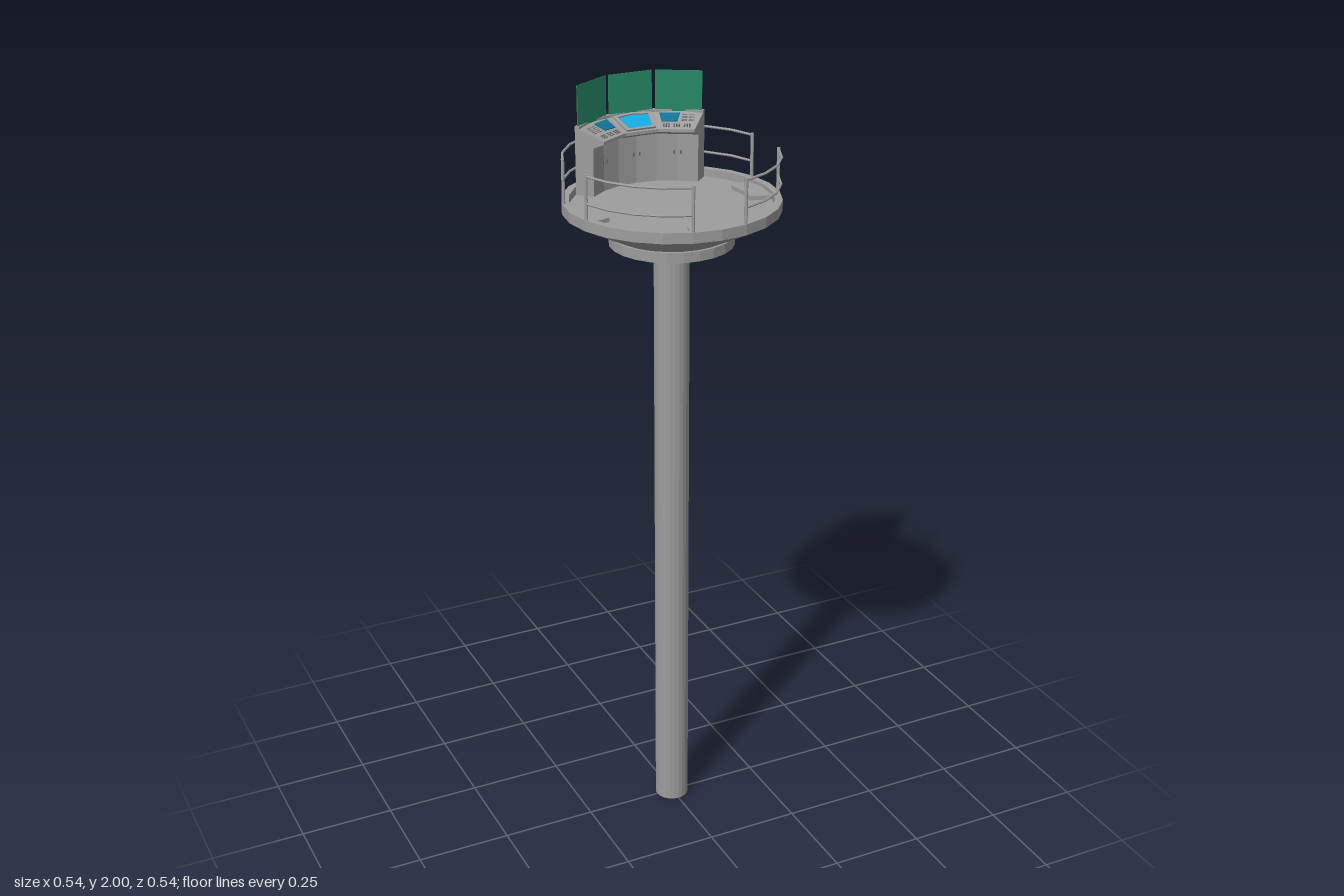
import * as THREE from 'three';

const DEG = Math.PI / 180;
const paint = (color) => new THREE.MeshStandardMaterial({ color, flatShading: true, side: THREE.DoubleSide });
const grey = paint(0x9d9d9d);
const dark = paint(0x666666);
const green = paint(0x268a68);
const blue = paint(0x14acdf);
const sideBlue = paint(0x127297);

const vec = (points) => points.map(([x, y]) => new THREE.Vector2(x, y));

function add(parent, name, geometry, material = grey, x = 0, y = 0, z = 0) {
  const mesh = new THREE.Mesh(geometry, material);
  mesh.name = name;
  mesh.position.set(x, y, z);
  parent.add(mesh);
  return mesh;
}

// Closed (radius, height) profile swept between two angles, with end caps
function sector(parent, name, profile, from, to, segments) {
  const group = new THREE.Group();
  group.name = name;
  const loop = vec([...profile, profile[0]]);
  add(group, name + 'Body', new THREE.LatheGeometry(loop, segments, from * DEG, (to - from) * DEG));
  for (const angle of [from, to]) {
    add(group, name + 'End', new THREE.ShapeGeometry(new THREE.Shape(vec(profile)))).rotation.y = (angle - 90) * DEG;
  }
  parent.add(group);
}

// Flat plate lying on a desk top; outline in (x, toward the back)
function plate(parent, name, outline, depth, material, hole) {
  const shape = new THREE.Shape(vec(outline));
  if (hole) shape.holes.push(new THREE.Path(vec(hole)));
  const geometry = new THREE.ExtrudeGeometry(shape, { depth, bevelEnabled: false });
  geometry.rotateX(-Math.PI / 2);
  return add(parent, name, geometry, material);
}

function addPlatform(model) {
  add(model, 'column', new THREE.CylinderGeometry(0.045, 0.045, 1.61, 24), grey, 0, 0.805, 0);
  const collar = [[0, 1.6], [0.045, 1.6], [0.157, 1.63], [0.157, 1.656], [0, 1.656]];
  add(model, 'collar', new THREE.LatheGeometry(vec(collar), 24));
  const dish = [[0, 1.65], [0.137, 1.65], [0.272, 1.718], [0.272, 1.745], [0.253, 1.745], [0.253, 1.725], [0, 1.725]];
  add(model, 'platform', new THREE.LatheGeometry(vec(dish), 24));
  // Entry steps below the gaps in the railing
  for (const angle of [0, 90, 270]) {
    sector(model, 'entryStep', [[0.197, 1.724], [0.253, 1.724], [0.253, 1.736], [0.197, 1.736]], angle - 15, angle + 15, 2);
  }
}

function addRailings(model) {
  const r = 0.267;
  const tube = 0.0033;
  for (const [from, to] of [[15, 75], [285, 345], [105, 255]]) {
    for (const y of [1.785, 1.852]) {
      const ring = [];
      for (let i = 0; i < 6; i++) {
        ring.push([r + tube * Math.cos(i * 60 * DEG), y + tube * Math.sin(i * 60 * DEG)]);
      }
      sector(model, 'rail', ring, from, to, (to - from) / 15);
    }
    for (const a of [from, to]) {
      add(model, 'railPost', new THREE.CylinderGeometry(0.0045, 0.0045, 0.115, 8), grey,
        r * Math.sin(a * DEG), 1.799, r * Math.cos(a * DEG));
    }
  }
}

function addCentreControls(desk) {
  const outer = [[-0.04, -0.034], [0.04, -0.034], [0.053, 0.027], [0, 0.034], [-0.053, 0.027]];
  const inner = outer.map(([x, y]) => [x * 0.8, y * 0.8]);
  plate(desk, 'mainScreenFrame', outer, 0.005, grey, inner);
  plate(desk, 'mainScreen', inner, 0.002, blue);
}

function addSideControls(desk, side) {
  const s = (x) => x * side;
  const screen = [[-0.04, -0.009], [0.0, -0.007], [0.004, 0.026], [-0.048, 0.026]];
  plate(desk, 'sideScreen', screen.map(([x, y]) => [s(x), y]), 0.002, sideBlue);
  // Rows of thin indicator strips beside the screen
  for (let row = 0; row < 5; row++) {
    for (let col = 0; col < 2; col++) {
      add(desk, 'indicatorStrip', new THREE.BoxGeometry(0.014, 0.001, 0.0012), dark,
        s(0.017 + col * 0.018), 0.0005, 0.004 - row * 0.006);
    }
  }
  // Key clusters along the front edge
  for (let row = 0; row < 3; row++) {
    for (let col = 0; col < 11; col++) {
      if (col % 4 === 3) continue;
      add(desk, 'key', new THREE.BoxGeometry(0.0035, 0.002, 0.002), dark,
        s(-0.033 + col * 0.0065), 0.001, 0.019 + row * 0.005);
    }
  }
}

function addConsole(model) {
  const cabinet = [[0.204, 1.724], [0.252, 1.724], [0.252, 1.9], [0.24, 1.9], [0.24, 1.858], [0.204, 1.858]];
  sector(model, 'consoleCabinet', cabinet, 135, 225, 6);
  const top = [[0.175, 1.86], [0.204, 1.848], [0.25, 1.848], [0.25, 1.897], [0.175, 1.868]];
  sector(model, 'consoleDesk', top, 135, 225, 3);

  for (const side of [-1, 0, 1]) {
    const bay = new THREE.Group();
    bay.name = 'consoleBay';
    bay.rotation.y = -side * 30 * DEG;
    model.add(bay);
    add(bay, 'backPanel', new THREE.BoxGeometry(0.119, 0.104, 0.0025), green, 0, 1.948, -0.239);

    const desk = new THREE.Group();
    desk.name = 'deskControls';
    desk.position.set(0, 1.8825, -0.2053);
    desk.rotation.x = Math.atan2(0.029, 0.0724);
    bay.add(desk);
    if (side === 0) addCentreControls(desk);
    else addSideControls(desk, side);

    // Cabinet door handles
    for (const half of [-1, 1]) {
      const door = new THREE.Group();
      door.name = 'cabinetDoor';
      door.rotation.y = -half * 7.5 * DEG;
      bay.add(door);
      add(door, 'doorHandle', new THREE.BoxGeometry(0.003, 0.01, 0.004), dark, -half * 0.018, 1.8, -0.201);
    }
  }
}

export function createModel() {
  const model = new THREE.Group();
  model.name = 'observationTower';
  addPlatform(model);
  addRailings(model);
  addConsole(model);
  return model;
}
